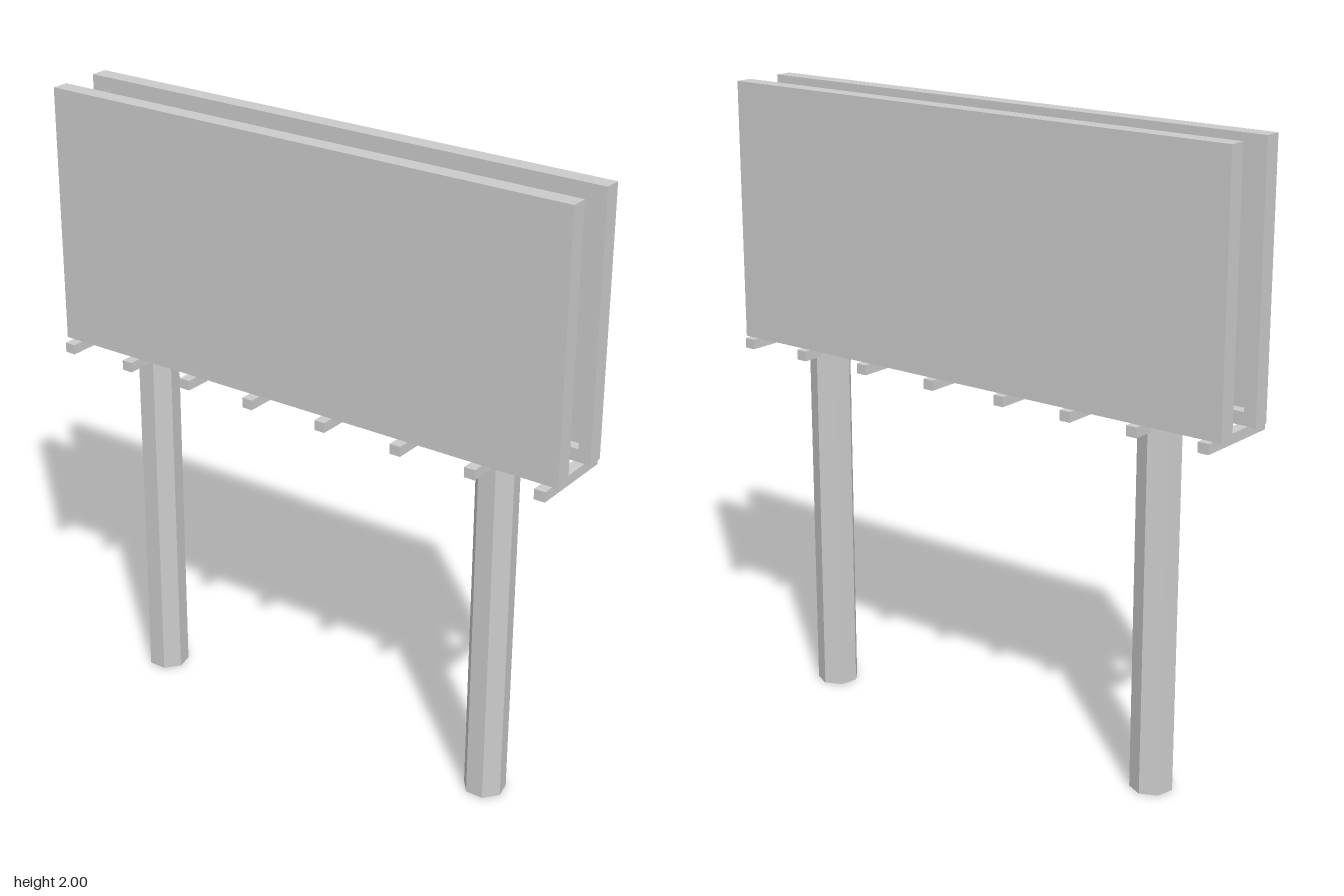
import * as THREE from 'three';

const material = new THREE.MeshStandardMaterial({ color: 0xcccccc, flatShading: true });

function addMesh(parent, name, geometry, x, y, z) {
  const mesh = new THREE.Mesh(geometry, material);
  mesh.name = name;
  mesh.position.set(x, y, z);
  parent.add(mesh);
  return mesh;
}

// Display board: flat outer sheet (+x side) with a raised rim on its inner side
function createBoard(name) {
  const length = 1.82, height = 0.827, sheet = 0.02, rimDepth = 0.036, rim = 0.04;
  const board = new THREE.Group();
  board.name = name;
  addMesh(board, 'sheet', new THREE.BoxGeometry(sheet, height, length), rimDepth / 2, 0, 0);

  const rectangle = (path, w, h) => path
    .moveTo(-w / 2, -h / 2).lineTo(w / 2, -h / 2)
    .lineTo(w / 2, h / 2).lineTo(-w / 2, h / 2).closePath();
  const outline = new THREE.Shape();
  rectangle(outline, length, height);
  const opening = new THREE.Path();
  rectangle(opening, length - 2 * rim, height - 2 * rim);
  outline.holes.push(opening);
  const frame = new THREE.ExtrudeGeometry(outline, { depth: rimDepth, bevelEnabled: false });
  frame.rotateY(Math.PI / 2);
  addMesh(board, 'rim', frame, -(sheet + rimDepth) / 2, 0, 0);
  return board;
}

export function createModel() {
  const model = new THREE.Group();
  model.name = 'billboard';

  // Two boards, back to back
  const leftBoard = createBoard('leftBoard');
  leftBoard.position.set(0.095, 1.5865, 0);
  const rightBoard = createBoard('rightBoard');
  rightBoard.position.set(-0.084, 1.5865, 0);
  rightBoard.rotation.y = Math.PI;
  model.add(leftBoard, rightBoard);

  // Seven-sided posts with one corner pointing to +x
  const post = new THREE.CylinderGeometry(0.067, 0.067, 1.238, 7, 1, false, Math.PI / 2);
  addMesh(model, 'frontPost', post, 0.013, 0.619, 0.641);
  addMesh(model, 'backPost', post, 0.013, 0.619, -0.637);

  // Cross beams under the boards
  const beam = new THREE.BoxGeometry(0.296, 0.032, 0.036);
  for (const z of [0.874, 0.645, 0.391, 0.121, -0.149, -0.393, -0.626, -0.866]) {
    addMesh(model, 'crossBeam', beam, -0.002, 1.157, z);
  }
  return model;
}
